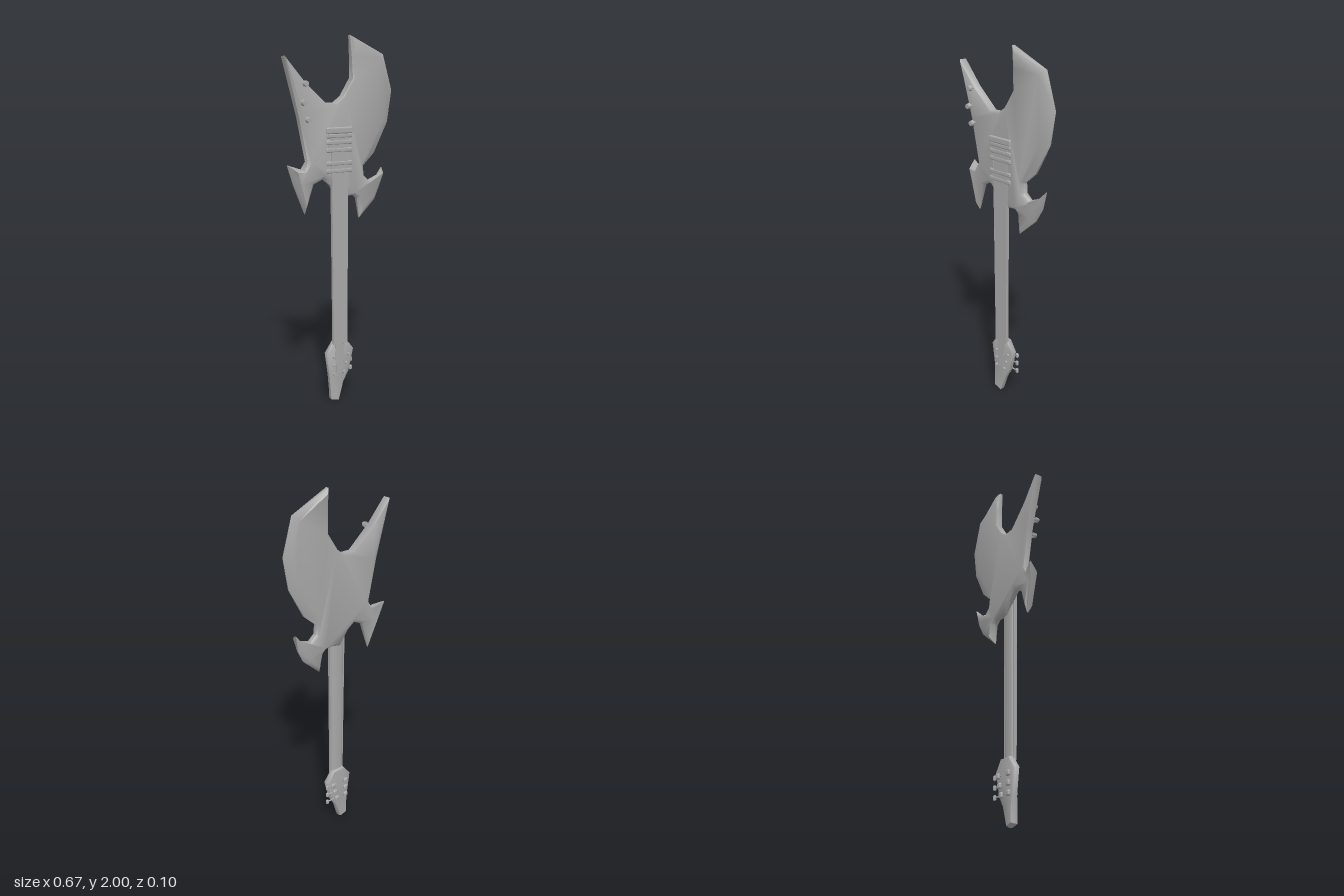
import * as THREE from 'three';
import { toCreasedNormals } from 'three/addons/utils/BufferGeometryUtils.js';
import { RoundedBoxGeometry } from 'three/addons/geometries/RoundedBoxGeometry.js';

const gray = new THREE.MeshStandardMaterial({ color: 0xa8a8a8 });
gray.name = 'plain gray';

function add(parent, name, geometry, x = 0, y = 0, z = 0) {
  const mesh = new THREE.Mesh(geometry, gray);
  mesh.name = name;
  mesh.position.set(x, y, z);
  parent.add(mesh);
  return mesh;
}

// Bevelled slab. Each outline point is [x, y, bevel width, rim back z, rim front z].
function slab(points, faceBack, faceFront, crease = 0.9) {
  const flat = points.map(p => new THREE.Vector2(p[0], p[1]));
  if (THREE.ShapeUtils.isClockWise(flat)) { flat.reverse(); points = [...points].reverse(); }
  const n = flat.length;
  const inner = flat.map((p, i) => {
    const a = p.clone().sub(flat[(i + n - 1) % n]).normalize();
    const b = flat[(i + 1) % n].clone().sub(p).normalize();
    const inward = new THREE.Vector2(-a.y - b.y, a.x + b.x).normalize();
    return p.clone().addScaledVector(inward, points[i][2]);
  });
  const pos = [], idx = [];
  inner.forEach(p => pos.push(p.x, p.y, faceBack));
  points.forEach(p => pos.push(p[0], p[1], p[3]));
  points.forEach(p => pos.push(p[0], p[1], p[4]));
  inner.forEach(p => pos.push(p.x, p.y, faceFront));
  for (let k = 0; k < 3; k++) {
    for (let i = 0; i < n; i++) {
      const j = (i + 1) % n, a = k * n + i, b = k * n + j;
      idx.push(a, b, b + n, a, b + n, a + n);
    }
  }
  for (const [a, b, c] of THREE.ShapeUtils.triangulateShape(inner, [])) {
    idx.push(3 * n + a, 3 * n + b, 3 * n + c, a, c, b);
  }
  const g = new THREE.BufferGeometry();
  g.setAttribute('position', new THREE.Float32BufferAttribute(pos, 3));
  g.setIndex(idx);
  return toCreasedNormals(g, crease);
}

export function createModel() {
  const guitar = new THREE.Group();
  guitar.name = 'guitar';

  // Body: long left horn, broad right horn and two hooked wings
  const horns = [
    [-0.335, 1.89, 0.012, -0.03, 0.012], [-0.225, 1.765, 0.005, -0.03, 0.012],
    [-0.10, 1.655, 0.008, -0.03, 0.012], [-0.035, 1.655, 0.008, -0.03, 0.012],
    [0.01, 1.69, 0.008, -0.03, 0.012], [0.068, 1.78, 0.01, -0.03, 0.01],
    [0.062, 1.89, 0.014, -0.022, 0.006], [0.052, 2.0, 0.03, -0.014, 0.004],
    [0.27, 1.905, 0.04, -0.018, -0.008], [0.333, 1.715, 0.045, -0.018, -0.014],
    [0.305, 1.545, 0.045, -0.018, -0.012], [0.215, 1.38, 0.035, -0.02, -0.006],
  ];
  const rightWing = [
    [0.14, 1.315, 0.02, -0.022, 0], [0.145, 1.26, 0.015, -0.022, 0],
    [0.18, 1.23, 0.015, -0.022, 0], [0.245, 1.255, 0.012, -0.024, -0.014],
    [0.277, 1.295, 0.03, -0.028, -0.022], [0.26, 1.20, 0.03, -0.02, -0.012],
    [0.22, 1.125, 0.03, -0.015, -0.005], [0.113, 1.03, 0.045, -0.004, 0.004],
    [0.10, 1.14, 0.018, -0.018, 0.002], [0.08, 1.16, 0.015, -0.02, 0.004],
  ];
  const leftWing = [
    [0.035, 1.16, 0.015, -0.015, 0.01], [-0.02, 1.15, 0.02, -0.015, 0.01],
    [-0.07, 1.225, 0.02, -0.018, 0.006], [-0.113, 1.26, 0.02, -0.02, 0.002],
    [-0.17, 1.235, 0.018, -0.02, 0], [-0.218, 1.08, 0.045, -0.018, -0.01],
    [-0.275, 1.235, 0.025, -0.032, -0.024], [-0.30, 1.34, 0.045, -0.052, -0.046],
    [-0.23, 1.315, 0.015, -0.032, -0.01], [-0.205, 1.355, 0.02, -0.028, 0.002],
    [-0.255, 1.59, 0.02, -0.028, 0.004],
  ];
  add(guitar, 'body', slab([...horns, ...rightWing, ...leftWing], -0.033, 0.016));

  // Headstock
  add(guitar, 'headstock', slab([
    [-0.05, 0.35, 0.006, -0.008, 0.008], [-0.10, 0.285, 0.01, -0.012, 0.008],
    [-0.08, 0.15, 0.01, -0.014, 0.008], [-0.072, 0.012, 0.008, -0.006, 0.015],
    [-0.024, 0.0, 0.008, -0.006, 0.015], [0.01, 0.10, 0.01, -0.014, 0.008],
    [0.045, 0.16, 0.01, -0.014, 0.008], [0.075, 0.285, 0.01, -0.012, 0.008],
    [0.025, 0.35, 0.006, -0.008, 0.008],
  ], -0.022, 0.014));

  // Fretboard and the rounded neck behind it
  add(guitar, 'fretboard', slab([
    [-0.06, 0.33, 0.002, 0.004, 0.018], [0.03, 0.33, 0.002, 0.004, 0.018],
    [0.033, 1.50, 0.002, 0.004, 0.022], [-0.072, 1.50, 0.002, 0.004, 0.022],
  ], 0.003, 0.021, 0.4));
  const neck = add(guitar, 'neck', new THREE.CylinderGeometry(0.042, 0.036, 0.92, 20), -0.017, 0.78, 0.005);
  neck.scale.z = 0.33;
  add(guitar, 'headstockCover', slab([
    [-0.04, 0.155, 0.002, 0.012, 0.017], [0, 0.155, 0.002, 0.012, 0.017],
    [0.012, 0.335, 0.002, 0.012, 0.018], [-0.048, 0.335, 0.002, 0.012, 0.018],
  ], 0.011, 0.018, 0.4));

  // Bridge and the two pickups, whose ends show beside the fretboard
  add(guitar, 'bridge', new RoundedBoxGeometry(0.16, 0.035, 0.018, 3, 0.008), -0.021, 1.512, 0.017);
  for (const y of [1.495, 1.43, 1.32]) {
    const pickup = new THREE.Group();
    pickup.name = 'pickup';
    guitar.add(pickup);
    const rows = y > 1.48 ? [-0.01] : [-0.02, 0.02];
    add(pickup, 'pickupPlate', new THREE.BoxGeometry(0.13, 0.05, 0.01), -0.021, y, 0.014);
    for (const dy of rows) {
      add(pickup, 'pickupCoil', new RoundedBoxGeometry(0.158, 0.024, 0.016, 3, 0.007), -0.021, y + dy, 0.015);
    }
  }

  // Control knobs: thin stem with a wider cap
  for (const [x, y] of [[-0.232, 1.755], [-0.243, 1.66], [-0.218, 1.573]]) {
    const knob = new THREE.Group();
    knob.name = 'controlKnob';
    knob.position.set(x, y, 0.014);
    knob.rotation.x = Math.PI / 2;
    guitar.add(knob);
    add(knob, 'knobStem', new THREE.CylinderGeometry(0.007, 0.007, 0.02, 12), 0, 0.01, 0);
    add(knob, 'knobCap', new THREE.CylinderGeometry(0.013, 0.016, 0.018, 14), 0, 0.026, 0);
  }

  // Tuners: front posts, rear housings, and pegs along the left edge
  for (const y of [0.26, 0.21, 0.16]) {
    for (const side of [-1, 1]) {
      const x = side < 0 ? -0.055 : 0.01 + (y - 0.16) * 0.28;
      const post = add(guitar, 'tunerPost', new THREE.CylinderGeometry(0.007, 0.009, 0.012, 12), x, y, 0.018);
      post.rotation.x = Math.PI / 2;
      add(guitar, 'tunerHousing', new RoundedBoxGeometry(0.028, 0.03, 0.018, 3, 0.008), x, y, -0.028);
    }
    const shaft = add(guitar, 'pegShaft', new THREE.CylinderGeometry(0.004, 0.004, 0.06, 8), 0.045, y, -0.022);
    shaft.rotation.z = Math.PI / 2;
    add(guitar, 'tuningPeg', new RoundedBoxGeometry(0.018, 0.028, 0.014, 3, 0.006), 0.076, y, -0.022);
  }
  return guitar;
}
